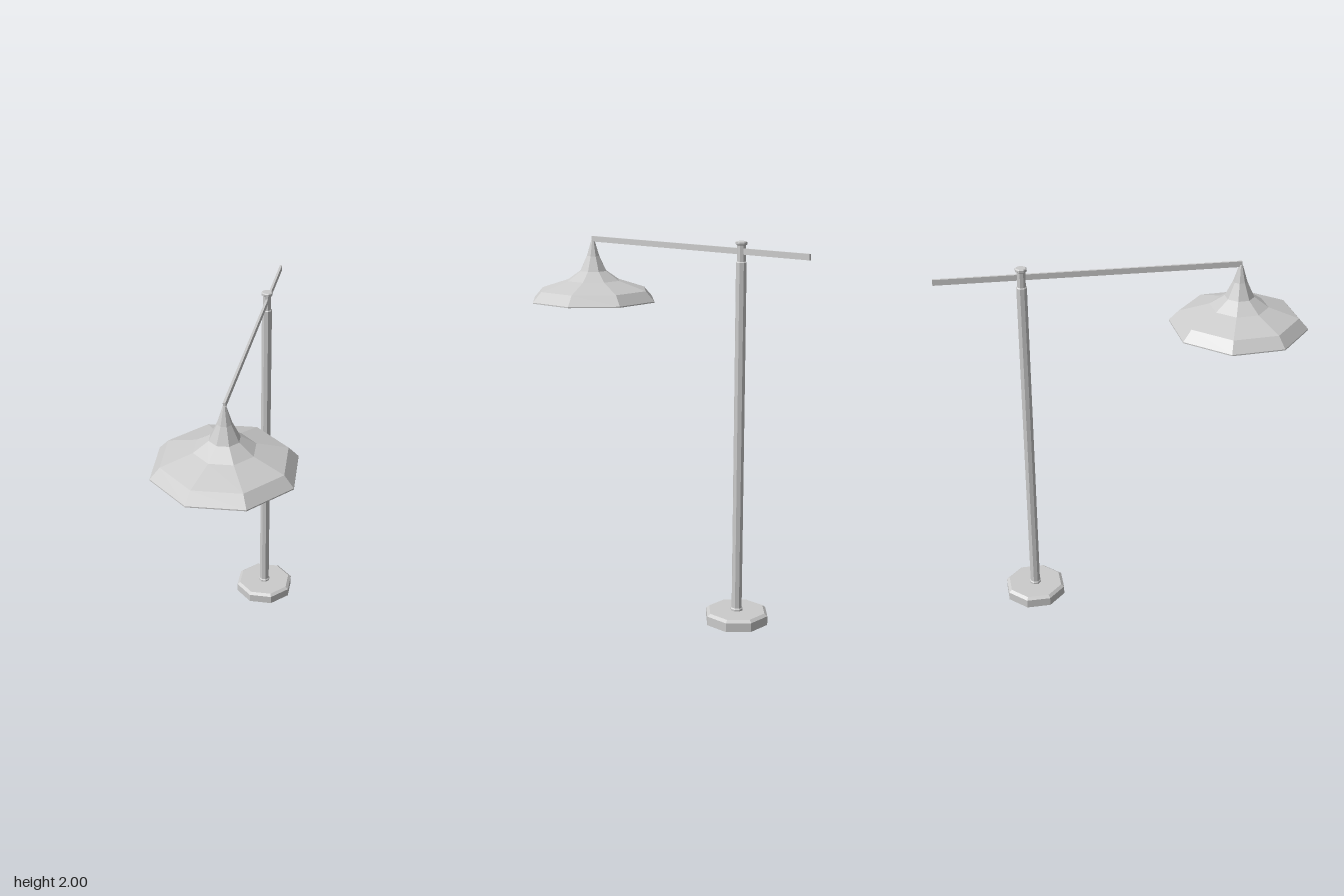
import * as THREE from 'three';

const material = new THREE.MeshStandardMaterial({
  color: 0xcccccc,
  flatShading: true,
  side: THREE.DoubleSide,
});

// Eight-sided turned part from [radius, height] pairs, listed bottom to top.
function octagonal(name, profile, turnDegrees, x, z) {
  const points = profile.map(([r, y]) => new THREE.Vector2(r, y));
  const start = THREE.MathUtils.degToRad(turnDegrees);
  const mesh = new THREE.Mesh(new THREE.LatheGeometry(points, 8, start), material);
  mesh.name = name;
  mesh.position.set(x, 0, z);
  return mesh;
}

export function createModel() {
  const lamp = new THREE.Group();
  lamp.name = 'floorLamp';

  const poleX = 0.003, poleZ = -0.515;
  const shadeX = -0.004, shadeZ = 0.608;

  // Hollow foot, open underneath, with a bevelled top edge
  lamp.add(octagonal('base', [
    [0.171, 0], [0.171, 0.048], [0.154, 0.061], [0, 0.061],
  ], 23.5, poleX, poleZ));

  // Upright with a foot collar, a narrower top section and an end cap
  lamp.add(octagonal('pole', [
    [0, 0.05], [0.033, 0.05], [0.033, 0.07], [0.028, 0.076], [0.028, 1.895],
    [0.023, 1.9], [0.023, 1.98], [0.031, 1.985], [0.031, 1.996], [0.026, 2], [0, 2],
  ], 23.5, poleX, poleZ));

  // Thin flat arm, running from the shade tip past the pole
  const from = new THREE.Vector3(shadeX, 1.95, 0.613);
  const to = new THREE.Vector3(0.009, 1.95, -0.953);
  const arm = new THREE.Mesh(new THREE.BoxGeometry(0.012, 0.03, from.distanceTo(to)), material);
  arm.name = 'arm';
  arm.position.copy(from).lerp(to, 0.5);
  arm.lookAt(from);
  lamp.add(arm);

  // Flared open shade hanging from the arm's end
  lamp.add(octagonal('shade', [
    [0.365, 1.605], [0.365, 1.611], [0.314, 1.667], [0.154, 1.719],
    [0.077, 1.772], [0.037, 1.855], [0.009, 1.945], [0, 1.95],
  ], 26.5, shadeX, shadeZ));

  return lamp;
}
